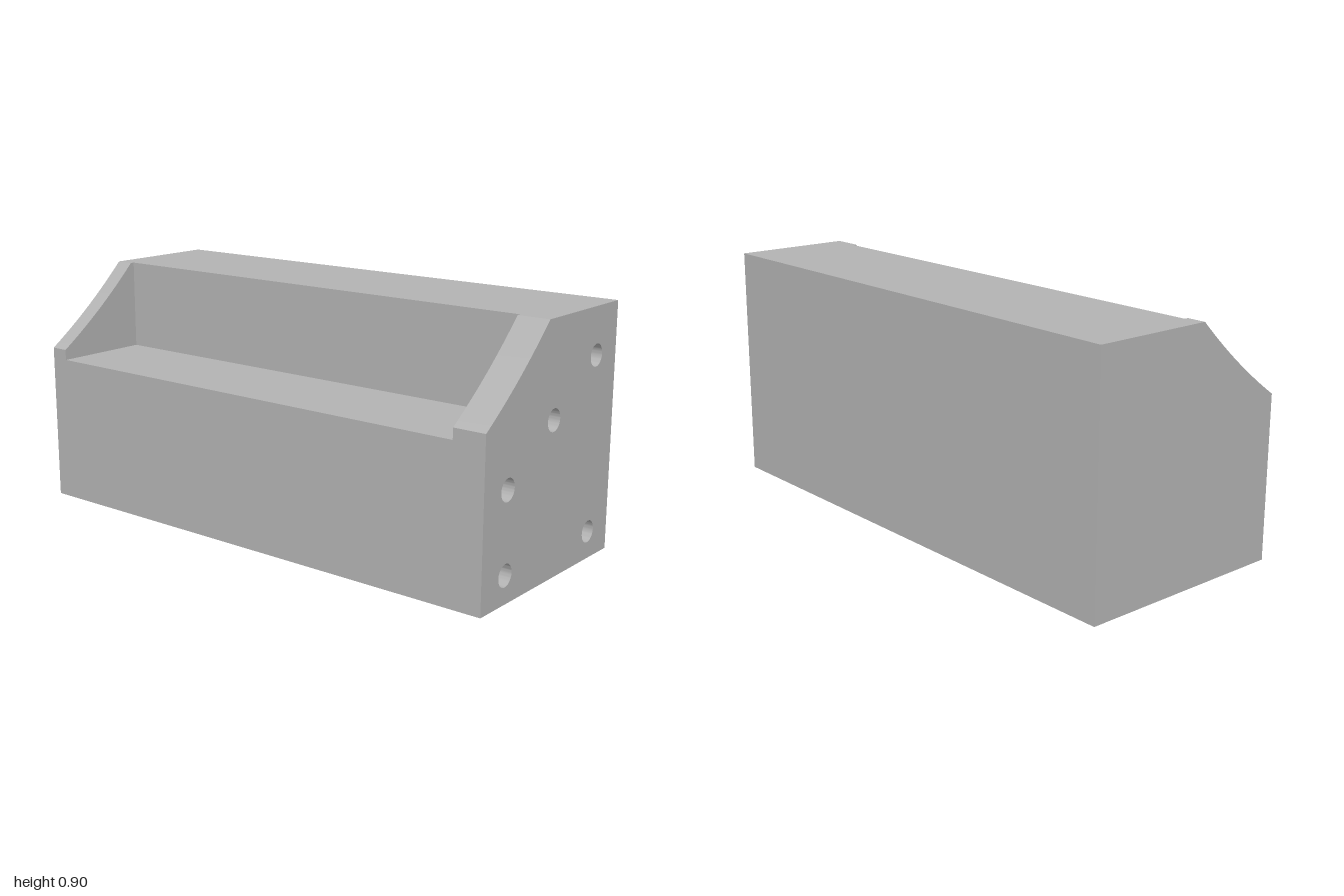
import * as THREE from 'three';
import { toCreasedNormals } from 'three/addons/utils/BufferGeometryUtils.js';

const W = 0.41, H = 0.9, INNER = 0.34;
const BACK = -0.93, FRONT = 0.88; // inner faces of the end plates
const RIB_L = -0.035, RIB_R = 0.042, BOSS_H = 0.25;

// End plate outline with a concave sloping corner
function plateShape() {
  const s = new THREE.Shape();
  s.moveTo(-W, 0);
  s.lineTo(W, 0);
  s.lineTo(W, H);
  s.lineTo(-0.05, H);
  s.quadraticCurveTo(-0.216, 0.732, -W, 0.6);
  s.closePath();
  return s;
}

function extrude(shape, z0, z1) {
  const g = new THREE.ExtrudeGeometry(shape, { depth: z1 - z0, bevelEnabled: false, curveSegments: 24 });
  g.translate(0, 0, z0);
  return toCreasedNormals(g, 0.5);
}

export function createModel() {
  const group = new THREE.Group();
  const grey = new THREE.MeshStandardMaterial({ color: 0xb2b2b2 });
  grey.name = 'grey';
  const add = (name, geometry) => {
    const mesh = new THREE.Mesh(geometry, grey);
    mesh.name = name;
    group.add(mesh);
    return mesh;
  };

  // Front plate with five screw holes, and plain back plate
  const front = plateShape();
  for (const [x, y] of [[-0.27, 0.1], [0.273, 0.1], [-0.27, 0.387], [0.003, 0.558], [0.273, 0.73]]) {
    front.holes.push(new THREE.Path().absarc(x, y, 0.04, 0, Math.PI * 2, true));
  }
  add('frontPlate', extrude(front, FRONT, 1));
  add('backPlate', extrude(plateShape(), -1, BACK));

  // Stepped body: tall right bay, low left shelf, both open underneath
  const section = [
    [-W, 0], [-INNER, 0], [-INNER, 0.49], [RIB_L, 0.49], [RIB_L, BOSS_H], [RIB_R, BOSS_H],
    [RIB_R, 0.83], [INNER, 0.83], [INNER, 0], [W, 0], [W, H], [RIB_L, H], [RIB_L, 0.56], [-W, 0.56],
  ];
  const body = new THREE.Shape(section.map(([x, y]) => new THREE.Vector2(x, y)));
  add('steppedBody', extrude(body, BACK, FRONT));

  // Lower part of the centre rib, ending inside the boss
  const ribStart = -0.6;
  const rib = new THREE.BoxGeometry(RIB_R - RIB_L, BOSS_H, FRONT - ribStart);
  add('centreRib', rib).position.set((RIB_L + RIB_R) / 2, BOSS_H / 2, (FRONT + ribStart) / 2);

  // Round boss with a shallow socket underneath
  const profile = [[0, 0.05], [0.055, 0.05], [0.055, 0], [0.257, 0], [0.257, BOSS_H], [0, BOSS_H]];
  const boss = new THREE.LatheGeometry(profile.map(([r, y]) => new THREE.Vector2(r, y)), 64);
  add('roundBoss', toCreasedNormals(boss, 0.5)).position.set(0.003, 0, -0.742);

  return group;
}
